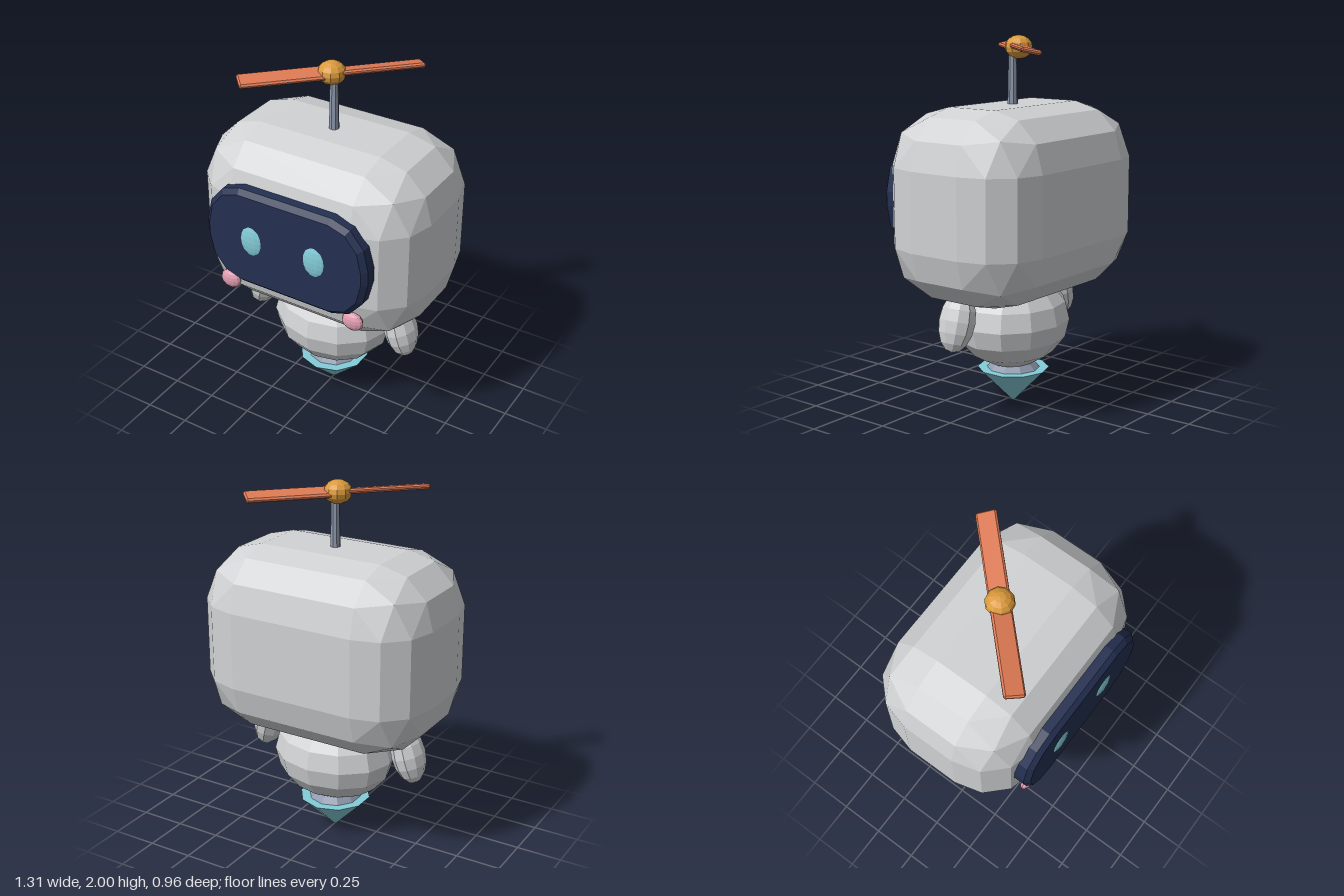
import * as THREE from 'three';
import { ConvexGeometry } from 'three/addons/geometries/ConvexGeometry.js';

const Z = -0.033; // depth of the central axis

const paint = (name, color) => {
  const m = new THREE.MeshStandardMaterial({ color });
  m.name = name;
  return m;
};

// Faceted normals for the low-poly look
function facet(geometry) {
  const g = geometry.index ? geometry.toNonIndexed() : geometry;
  g.computeVertexNormals();
  return g;
}

// Box with every edge and corner rounded by radius r in n steps
function roundedBox(w, h, d, r, n) {
  const points = [];
  for (const sx of [-1, 1]) for (const sy of [-1, 1]) for (const sz of [-1, 1])
    for (let i = 0; i <= n; i++) for (let j = 0; j <= n - i; j++) {
      const p = new THREE.Vector3(i, j, n - i - j).multiplyScalar(Math.PI / 2 / n);
      p.set(Math.sin(p.x), Math.sin(p.y), Math.sin(p.z)).normalize().multiplyScalar(r);
      p.add(new THREE.Vector3(w / 2 - r, h / 2 - r, d / 2 - r));
      points.push(p.multiply(new THREE.Vector3(sx, sy, sz)));
    }
  return new ConvexGeometry(points);
}

function ellipsoid(rx, ry, rz, around = 12, rings = 8) {
  return facet(new THREE.SphereGeometry(1, around, rings).scale(rx, ry, rz));
}

// Rounded screen outline, 30 degree steps at the corners
function screenShape(inset) {
  const points = [];
  for (let q = 0; q < 4; q++) for (let k = 0; k <= 3; k++) {
    const a = (q + k / 3) * Math.PI / 2;
    const sx = q === 0 || q === 3 ? 1 : -1;
    const sy = q < 2 ? 1 : -1;
    points.push(new THREE.Vector2(
      sx * 0.27 + (0.215 - inset) * Math.cos(a),
      sy * 0.035 + (0.25 - inset) * Math.sin(a)));
  }
  return new THREE.Shape(points);
}

export function createModel() {
  const model = new THREE.Group();
  model.name = 'hoverRobot';
  const shell = paint('shellGrey', 0xd0d2d4);
  const navy = paint('screenNavy', 0x243052);
  const cyan = paint('glowCyan', 0x84cdd9);
  const pink = paint('cheekPink', 0xe09db2);
  const steel = paint('steelBlueGrey', 0x8e98ac);
  const gold = paint('hubGold', 0xdb9a3c);
  const orange = paint('bladeOrange', 0xde7a54);

  const add = (name, geometry, material, x, y, z, parent = model) => {
    const mesh = new THREE.Mesh(geometry, material);
    mesh.name = name;
    mesh.position.set(x, y, z);
    parent.add(mesh);
    return mesh;
  };

  // Head and body
  add('head', roundedBox(1.31, 1.02, 0.9, 0.3, 3), shell, 0, 1.13, -0.035);
  add('body', ellipsoid(0.347, 0.26, 0.293), shell, 0, 0.465, Z);

  // Arms lean out at the bottom
  for (const s of [-1, 1]) {
    const arm = add(s > 0 ? 'leftArm' : 'rightArm', ellipsoid(0.09, 0.165, 0.105, 10, 8),
      shell, s * 0.443, 0.54, -0.005);
    arm.rotation.z = s * 0.28;
  }

  // Face screen with a chamfered rim
  const bevel = 0.027;
  const screen = new THREE.ExtrudeGeometry(screenShape(bevel), {
    depth: 0.12, bevelEnabled: true, bevelSize: bevel, bevelThickness: bevel,
    bevelSegments: 1, curveSegments: 1,
  });
  add('faceScreen', facet(screen), navy, 0, 1.145, 0.467 - 0.12 - bevel);

  // Eyes and cheeks
  const eye = ellipsoid(0.077, 0.102, 0.03, 16, 10);
  add('rightEye', eye, cyan, -0.197, 1.147, 0.45);
  add('leftEye', eye, cyan, 0.183, 1.153, 0.45);
  const cheek = ellipsoid(0.062, 0.053, 0.03, 12, 8);
  add('rightCheek', cheek, pink, -0.385, 0.81, 0.402);
  add('leftCheek', cheek, pink, 0.378, 0.824, 0.402);

  // Thruster under the body
  add('thrusterNeck', facet(new THREE.CylinderGeometry(0.1, 0.155, 0.06, 10)), steel, 0, 0.21, Z);
  add('thrusterCone', facet(new THREE.CylinderGeometry(0.197, 0.008, 0.19, 10)), cyan, 0, 0.095, Z);

  // Mast and propeller
  add('mast', facet(new THREE.CylinderGeometry(0.022, 0.028, 0.32, 8)), steel, 0, 1.76, -0.028);
  const propeller = new THREE.Group();
  propeller.name = 'propeller';
  propeller.position.set(-0.026, 1.937, -0.047);
  propeller.rotation.y = Math.PI / 4;
  model.add(propeller);
  add('propellerHub', ellipsoid(0.075, 0.063, 0.075, 10, 8), gold, 0, 0, 0, propeller);

  // Two blades pitched in opposite directions
  const bladeShape = roundedBox(0.47, 0.026, 0.106, 0.009, 1);
  for (let i = 0; i < 2; i++) {
    const arm = new THREE.Group();
    arm.name = 'bladeMount' + (i + 1);
    arm.rotation.y = i * Math.PI;
    propeller.add(arm);
    add('blade' + (i + 1), bladeShape, orange, 0.245, 0, 0, arm).rotation.x = -0.2;
  }
  return model;
}
